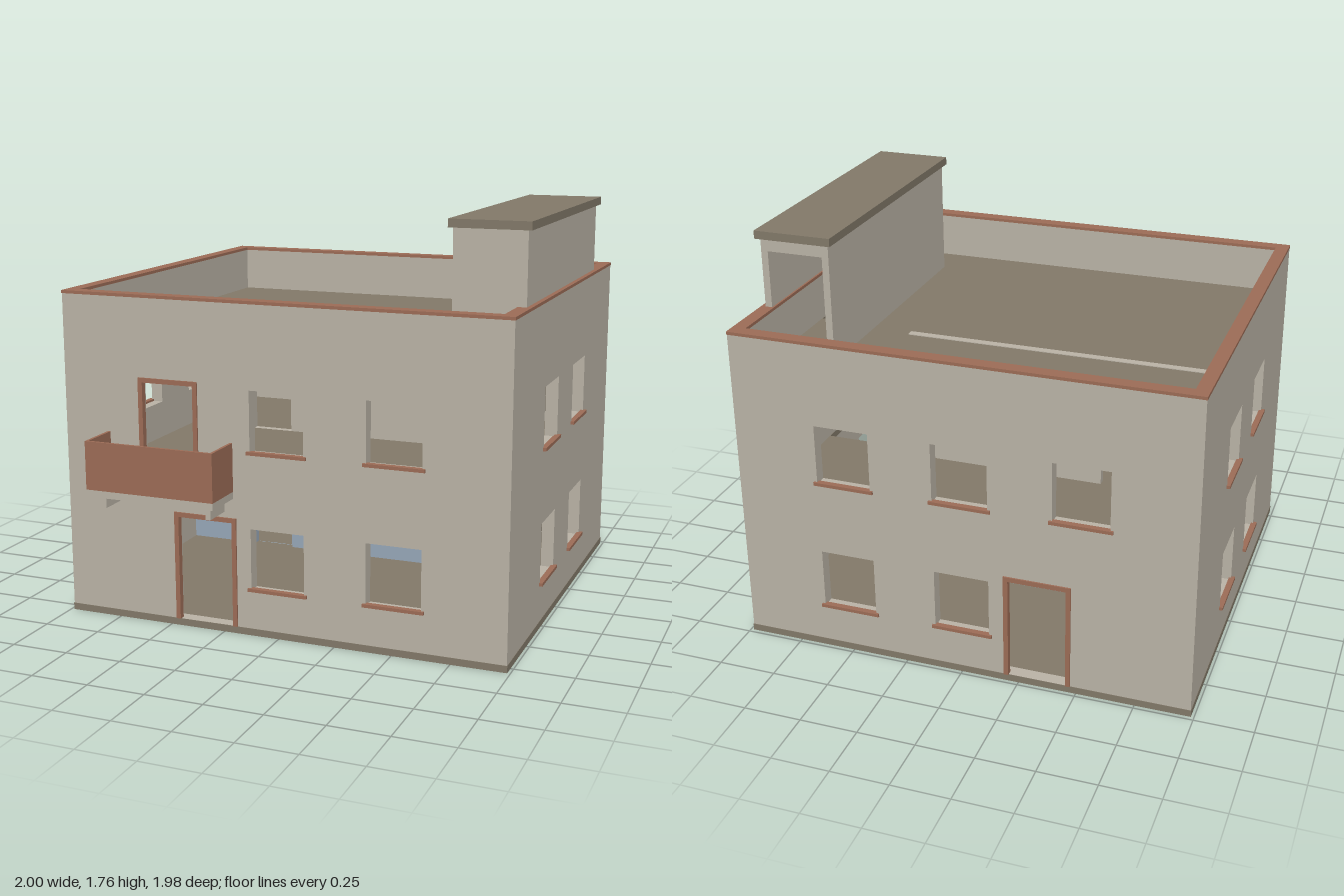
import * as THREE from 'three';

const mat = (name, color) => {
  const m = new THREE.MeshStandardMaterial({ color });
  m.name = name;
  return m;
};

export function createModel() {
  const plaster = mat('beige plaster', 0xbab3a6);
  const concrete = mat('dark concrete', 0x827969);
  const terracotta = mat('terracotta trim', 0x9c6c56);
  const blue = mat('blue plaster', 0x97a7b8);

  const house = new THREE.Group();
  house.name = 'house';

  // Outer box of the house, wall thickness and storey levels
  const X = 0.985, ZF = 0.798, ZB = -0.98, T = 0.055;
  const GROUND = 0.03, STOREY = 0.59, SLAB = 0.03;
  const FIRST = GROUND + STOREY, ROOF = FIRST + STOREY;
  const CAP = 1.41;

  const add = (name, geometry, material, parent = house) => {
    const mesh = new THREE.Mesh(geometry, material);
    mesh.name = name;
    parent.add(mesh);
    return mesh;
  };
  // Box given by its limits on each axis
  const box = (name, material, x0, x1, y0, y1, z0, z1, parent) => {
    const mesh = add(name, new THREE.BoxGeometry(x1 - x0, y1 - y0, z1 - z0), material, parent);
    mesh.position.set((x0 + x1) / 2, (y0 + y1) / 2, (z0 + z1) / 2);
    return mesh;
  };
  // Rectangular plate with rectangular openings [x0, x1, y0, y1]
  const rect = (Kind, [x0, x1, y0, y1]) => new Kind([
    new THREE.Vector2(x0, y0), new THREE.Vector2(x1, y0),
    new THREE.Vector2(x1, y1), new THREE.Vector2(x0, y1),
  ]);
  const plate = (outline, openings, depth) => {
    const shape = rect(THREE.Shape, outline);
    shape.holes = openings.map((o) => rect(THREE.Path, o));
    return new THREE.ExtrudeGeometry(shape, { depth, bevelEnabled: false });
  };

  // Openings
  const windowY = [[0.2, 0.466], [0.79, 1.055]];
  const windowsAt = (spans) => windowY.flatMap(([y0, y1]) => spans.map(([a, b]) => [a, b, y0, y1]));
  const mainSpans = [[-0.122, 0.117], [0.388, 0.625]];
  const sideSpans = [[-0.287, -0.048], [0.225, 0.463]];
  const entry = [-0.472, -0.19, GROUND, 0.502];
  const balconyDoor = [-0.628, -0.36, FIRST, 1.07];
  const frontWindows = windowsAt(mainSpans);
  const backWindows = [...windowsAt(mainSpans), [-0.632, -0.393, ...windowY[1]]];
  const sideWindows = windowsAt(sideSpans);

  // Outer walls
  const longWall = [-X, X, 0, CAP];
  add('frontWall', plate(longWall, [...frontWindows, entry, balconyDoor], T), plaster).position.z = ZF - T;
  add('backWall', plate(longWall, [...backWindows, entry], T), plaster).position.z = ZB;
  for (const side of [-1, 1]) {
    const wall = add('sideWall', plate([-ZF + T, -ZB - T, 0, CAP], sideWindows, T), plaster);
    wall.rotation.y = Math.PI / 2;
    wall.position.x = side > 0 ? X - T : -X;
  }

  // Window sills
  for (const [a, b, y] of frontWindows)
    box('windowSill', terracotta, a - 0.013, b + 0.013, y - 0.005, y + 0.009, ZF - 0.015, ZF + 0.01);
  for (const [a, b, y] of backWindows)
    box('windowSill', terracotta, a - 0.013, b + 0.013, y - 0.005, y + 0.009, ZB - 0.01, ZB + 0.015);
  for (const side of [-1, 1])
    for (const [a, b, y] of sideWindows) {
      const sill = box('windowSill', terracotta, -0.0125, 0.0125, y - 0.005, y + 0.009, -b - 0.013, -a + 0.013);
      sill.position.x = side * (X + 0.0025);
      sill.scale.x = 1;
    }

  // Door frames
  const doorFrame = (name, [x0, x1, y0, y1], z0, z1) => {
    const frame = new THREE.Group();
    frame.name = name;
    house.add(frame);
    const w = 0.02, e = 0.003;
    box('jamb', terracotta, x0 - e, x0 + w - e, y0, y1, z0, z1, frame);
    box('jamb', terracotta, x1 - w + e, x1 + e, y0, y1, z0, z1, frame);
    box('head', terracotta, x0 - e, x1 + e, y1 - w + e, y1 + e, z0, z1, frame);
  };
  doorFrame('frontDoorFrame', entry, ZF - 0.02, ZF + 0.007);
  doorFrame('balconyDoorFrame', balconyDoor, ZF - 0.02, ZF + 0.007);
  doorFrame('backDoorFrame', entry, ZB - 0.007, ZB + 0.02);

  // Plinth strips and parapet coping round the outside
  const ring = (name, material, out, width, y0, y1) => {
    const g = plate([-X - out, X + out, -ZF - out, -ZB + out],
      [[-X - out + width, X + out - width, -ZF - out + width, -ZB + out - width]], y1 - y0);
    const mesh = add(name, g, material);
    mesh.rotation.x = -Math.PI / 2;
    mesh.position.y = y0;
  };
  ring('plinth', concrete, 0.002, 0.004, 0, GROUND);
  ring('parapetCoping', terracotta, 0.002, T + 0.003, CAP, CAP + 0.013);

  // Floors, with a stairwell through the upper two
  const stairX0 = 0.69, stairX1 = X - T;
  const stairStart = 0.535, run = 0.049, steps = 17, rise = STOREY / steps;
  const stairEnd = stairStart - run * steps;
  const well = [stairX0, stairX1 - 0.002, -stairStart, -stairEnd];
  const floor = (name, top, openings) => {
    const mesh = add(name, plate([-X + T, X - T, -ZF + T, -ZB - T], openings, SLAB), concrete);
    mesh.rotation.x = -Math.PI / 2;
    mesh.position.y = top - SLAB;
  };
  floor('groundFloor', GROUND, []);
  floor('upperFloor', FIRST, [well]);
  floor('roofDeck', ROOF, [well]);

  // Inner partition on each storey
  const partition = (name, y0, y1, material) => {
    const door = [-0.597, -0.4, y0, y0 + 0.425];
    add(name, plate([-X + T, 0.488, y0, y1], [door], 0.035), material).position.z = -0.305;
  };
  partition('lowerPartition', GROUND, FIRST - SLAB, blue);
  partition('upperPartition', FIRST, ROOF + 0.003, plaster);

  // Two flights of block steps
  for (const base of [GROUND, FIRST]) {
    const flight = new THREE.Group();
    flight.name = 'stairs';
    house.add(flight);
    for (let i = 0; i < steps; i++) {
      const top = base + rise * (i + 1), z = stairStart - run * i;
      box('step', concrete, stairX0, stairX1, Math.max(base, top - 2 * rise), top, z - run, z, flight);
    }
  }

  // Stair tower on the roof, open at the back
  const tower = new THREE.Group();
  tower.name = 'stairTower';
  house.add(tower);
  const [tx0, tx1, tz0, tz1, ty] = [0.662, 0.967, -0.682, 0.558, 1.725];
  const tt = 0.03;
  box('towerInnerWall', plaster, tx0, tx0 + tt, ROOF, ty, tz0, tz1, tower);
  box('towerOuterWall', plaster, tx1 - tt, tx1, CAP, ty, tz0, tz1, tower);
  box('towerFrontWall', plaster, tx0 + tt, tx1 - tt, ROOF, ty, tz1 - tt, tz1, tower);
  box('towerLintel', plaster, tx0 + tt, tx1 - tt, 1.67, ty, tz0, tz0 + tt, tower);
  box('towerRoof', concrete, 0.645, 0.985, ty, 1.76, -0.7, 0.576, tower);

  // Balcony
  const balcony = new THREE.Group();
  balcony.name = 'balcony';
  house.add(balcony);
  const [bx0, bx1, bz, bt] = [-0.785, -0.2, 0.988, 0.012];
  box('balconyFloor', plaster, bx0, bx1, FIRST - SLAB, FIRST, ZF, bz, balcony);
  box('balconyFrontRail', terracotta, bx0, bx1, FIRST, 0.828, bz - bt, bz, balcony);
  box('balconySideRail', terracotta, bx0, bx0 + bt, FIRST, 0.828, ZF, bz - bt, balcony);
  box('balconySideRail', terracotta, bx1 - bt, bx1, FIRST, 0.828, ZF, bz - bt, balcony);
  for (const x of [-0.737, -0.251])
    box('balconyBracket', plaster, x - 0.011, x + 0.011, 0.53, FIRST - SLAB, ZF, 0.93, balcony);

  return house;
}
